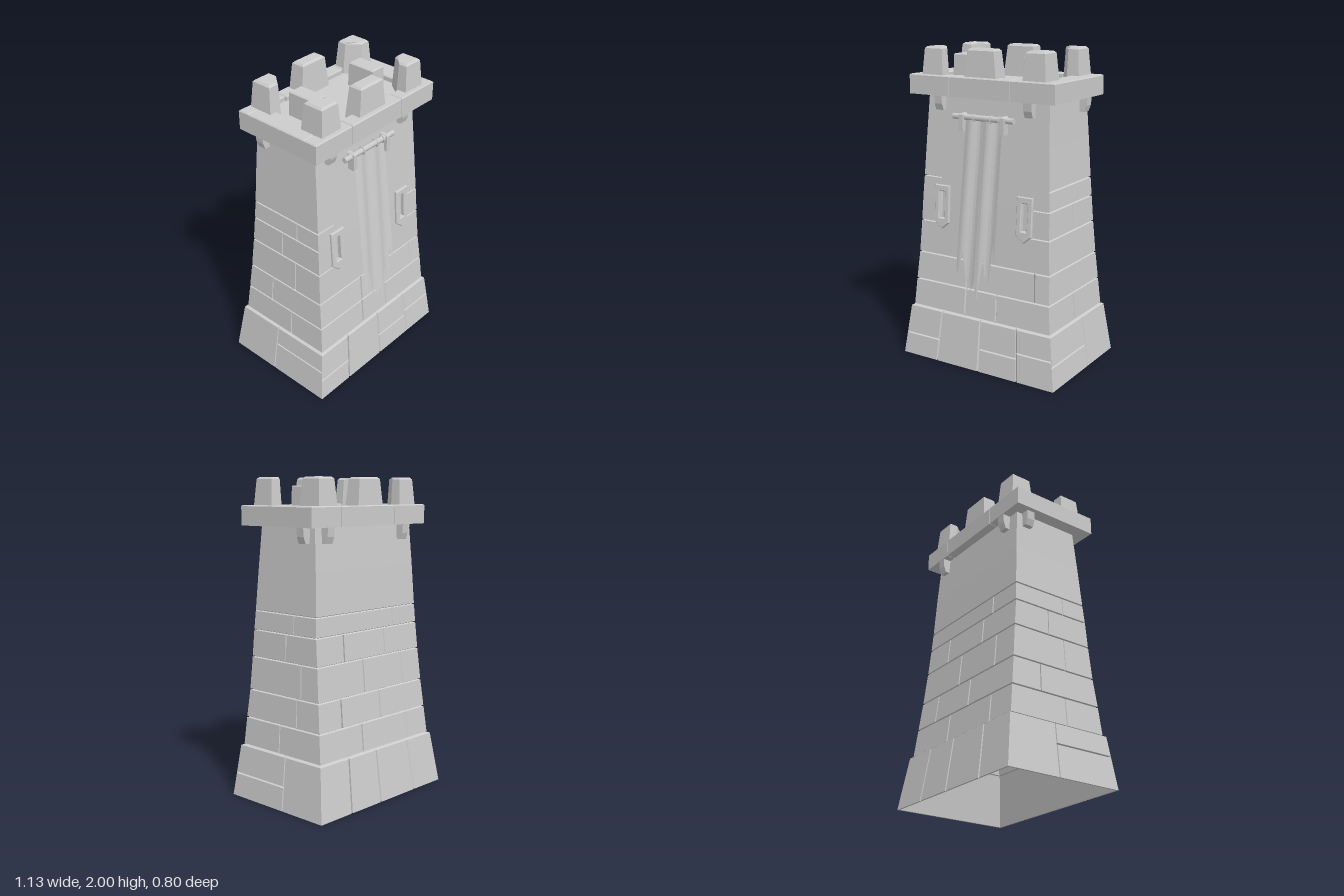
import * as THREE from 'three';
import { mergeGeometries } from 'three/addons/utils/BufferGeometryUtils.js';

const stone = new THREE.MeshStandardMaterial({ color: 0xcccccc, side: THREE.DoubleSide });
stone.name = 'stone';

// Tower profile: height, half width, front z, back z
const PROFILE = [
  [0, 0.565, 0.387, -0.398], [0.33, 0.522, 0.352, -0.35], [0.331, 0.508, 0.338, -0.335],
  [0.51, 0.495, 0.322, -0.315], [0.69, 0.482, 0.302, -0.295], [0.9, 0.47, 0.288, -0.275],
  [1.07, 0.463, 0.277, -0.26], [1.19, 0.456, 0.268, -0.253], [1.45, 0.443, 0.25, -0.24],
  [1.72, 0.43, 0.228, -0.222],
];
const INSET = 0.012;

function profileAt(y) {
  let i = 1;
  while (i < PROFILE.length - 1 && PROFILE[i][0] < y) i++;
  const a = PROFILE[i - 1], b = PROFILE[i];
  const t = (y - a[0]) / (b[0] - a[0]);
  return a.map((v, k) => v + (b[k] - v) * t);
}

// Point on a wall: side 0 front, 1 right, 2 back, 3 left; u runs -1..1 to the viewer's right
function wallPoint(side, u, y, inset = 0) {
  const p = profileAt(y);
  const hx = p[1] - inset, zf = p[2] - inset, zb = p[3] + inset;
  const z = zf + (zb - zf) * (u + 1) / 2;
  if (side === 0) return [u * hx, y, zf];
  if (side === 1) return [hx, y, z];
  if (side === 2) return [-u * hx, y, zb];
  return [-hx, y, zf + zb - z];
}

// Flat-shaded surface through rows of points (rows go up, points go right)
function skin(rows) {
  const pos = [];
  for (let j = 0; j < rows.length - 1; j++) {
    for (let i = 0; i < rows[j].length - 1; i++) {
      const a = rows[j][i], b = rows[j][i + 1], c = rows[j + 1][i + 1], d = rows[j + 1][i];
      pos.push(...a, ...b, ...c, ...a, ...c, ...d);
    }
  }
  const g = new THREE.BufferGeometry();
  g.setAttribute('position', new THREE.Float32BufferAttribute(pos, 3));
  g.computeVertexNormals();
  return g;
}

// One stone with bevelled joints; gu and gy are the joint half widths
function brick(side, u0, u1, y0, y1, gu = 0.011, gy = 0.005) {
  const l = u0 <= -1 ? 0 : gu, r = u1 >= 1 ? 0 : gu;
  const bottom = y0 === 0 ? 0 : gy, top = y1 > 1.7 ? 0 : gy;
  const ys = [y0, y0 + bottom, ...PROFILE.map(p => p[0]).filter(y => y > y0 + 0.01 && y < y1 - 0.01), y1 - top, y1];
  const us = [u0, u0 + l, u1 - r, u1];
  return skin(ys.map((y, j) => us.map((u, i) => {
    const edge = i === 0 || i === 3 || j === 0 || j === ys.length - 1;
    return wallPoint(side, u, y, edge ? INSET : 0);
  })));
}

// Tapered prism on an outline of [x, z] points with a bevelled top
function prism(pts, y0, y1, taper = 1, bevel = 0.012) {
  const n = pts.length;
  const cx = pts.reduce((s, p) => s + p[0], 0) / n, cz = pts.reduce((s, p) => s + p[1], 0) / n;
  const area = pts.reduce((s, p, i) => { const q = pts[(i + 1) % n]; return s + p[0] * q[1] - q[0] * p[1]; }, 0);
  const loop = area > 0 ? [...pts].reverse() : [...pts];
  loop.push(loop[0]);
  const ring = (y, k, b) => loop.map(([x, z]) => [
    cx + (x - cx) * k - Math.sign(x - cx) * b, y, cz + (z - cz) * k - Math.sign(z - cz) * b]);
  return skin([ring(y0, 0, 0), ring(y0, 1, 0), ring(y1 - bevel, taper, 0), ring(y1, taper, bevel), ring(y1, 0, 0)]);
}
const rect = (x0, x1, z0, z1) => [[x0, z0], [x1, z0], [x1, z1], [x0, z1]];

export function createModel() {
  const model = new THREE.Group();
  const add = (name, geo) => {
    const m = new THREE.Mesh(geo, stone);
    m.name = name;
    model.add(m);
    return m;
  };

  // Hollow core behind the stones
  add('towerCore', mergeGeometries([0, 1, 2, 3].map(s =>
    skin(PROFILE.map(p => [wallPoint(s, -1, p[0], INSET), wallPoint(s, 1, p[0], INSET)])))));

  // Courses on the sides and back: bottom, top, then joints per side
  const courses = [
    [0.331, 0.51, { 0: [-0.22, 0.24], 1: [-0.05], 2: [-0.25, 0.6], 3: [0.2] }],
    [0.51, 0.69, { 0: [-0.22, 0.79], 1: [0.4], 2: [-0.6, 0.12], 3: [-0.35] }],
    [0.69, 0.9, { 1: [0.52], 2: [-0.15, 0.62], 3: [0.3] }],
    [0.9, 1.07, { 1: [0.06], 2: [-0.5, 0.3], 3: [-0.1] }],
    [1.07, 1.19, { 1: [0.3], 2: [0.5], 3: [0.35] }],
    [1.19, 1.72, { 1: [], 2: [], 3: [] }],
  ];
  const walls = [];
  for (const [y0, y1, sides] of courses) {
    for (const side in sides) {
      const us = [-1, ...sides[side], 1];
      for (let i = 1; i < us.length; i++) walls.push(brick(+side, us[i - 1], us[i], y0, y1));
    }
  }
  // Plinth stones
  const plinth = [
    [0, -1, -0.53, 0, 0.14], [0, -1, -0.53, 0.14, 0.33], [0, -0.53, 0.03, 0, 0.33],
    [0, 0.03, 0.54, 0.145, 0.33], [0, 0.03, 0.54, 0, 0.145], [0, 0.54, 1, 0, 0.18], [0, 0.54, 1, 0.18, 0.33],
    [1, -1, 0.15, 0, 0.145], [1, -1, 0.15, 0.145, 0.33], [1, 0.15, 1, 0, 0.33],
    [2, -1, -0.53, 0, 0.33], [2, -0.53, -0.05, 0, 0.33], [2, -0.05, 0.53, 0, 0.33], [2, 0.53, 1, 0, 0.33],
    [3, -1, -0.1, 0, 0.33], [3, -0.1, 1, 0, 0.2], [3, -0.1, 1, 0.2, 0.33],
  ];
  for (const b of plinth) walls.push(brick(...b));
  // Smooth upper front, left open behind the windows
  const front = [
    [-0.595, 0.595, 0.69, 1.72],
    [-1, -0.705, 0.69, 0.9], [-1, -0.705, 0.9, 1.19], [-1, -0.705, 1.19, 1.72],
    [0.705, 1, 0.69, 0.9], [0.705, 1, 0.9, 1.07], [0.705, 1, 1.07, 1.72],
  ];
  for (const s of [-0.65, 0.65]) front.push([s - 0.055, s + 0.055, 0.69, 0.93], [s - 0.055, s + 0.055, 1.11, 1.72]);
  for (const [u0, u1, y0, y1] of front) walls.push(brick(0, u0, u1, y0, y1, 0, 0.004));
  add('wallStones', mergeGeometries(walls));

  // Platform floor and parapet blocks
  add('platformFloor', prism(rect(-0.5, 0.5, -0.268, 0.308), 1.712, 1.8, 1, 0.002));
  const parapet = [
    [-0.515, -0.22, 0.23, 0.32], [-0.216, 0.21, 0.225, 0.32], [0.214, 0.515, 0.23, 0.32],
    [-0.515, -0.22, -0.28, -0.205], [-0.216, 0.27, -0.28, -0.195], [0.274, 0.515, -0.28, -0.205],
    [-0.515, -0.385, -0.205, 0.23], [0.38, 0.515, -0.205, 0.23],
  ];
  add('parapet', mergeGeometries(parapet.map(b => prism(rect(...b), 1.71, 1.832, 1, 0.006))));

  // Merlons: four chamfered corners, front and back centres, two low inner blocks
  const corner = [[0.28, 0.295], [0.44, 0.295], [0.44, 0.13], [0.355, 0.13], [0.28, 0.225]];
  for (const sx of [-1, 1]) {
    for (const back of [false, true]) {
      add('cornerMerlon', prism(corner.map(([x, z]) => [sx * x, back ? 0.03 - z : z]), 1.79, 2, 0.8));
    }
  }
  add('frontMerlon', prism(rect(-0.13, 0.103, 0.182, 0.292), 1.79, 2, 0.8));
  add('backMerlon', prism(rect(-0.13, 0.103, -0.262, -0.152), 1.79, 2, 0.8));
  for (const x of [-0.273, 0.233]) add('innerMerlon', prism(rect(x - 0.052, x + 0.052, -0.068, 0.122), 1.79, 1.95, 0.96, 0.006));

  // Brackets under the parapet, deeper at the top
  const bracketShape = new THREE.Shape([[-0.03, 0], [0.055, 0], [0.05, -0.06], [0.035, -0.1], [-0.01, -0.1]]
    .map(p => new THREE.Vector2(...p)));
  const bracketGeo = new THREE.ExtrudeGeometry(bracketShape, { depth: 0.056, bevelEnabled: false });
  bracketGeo.translate(0, 0, -0.028);
  const brackets = [
    [-0.33, 0.228, -Math.PI / 2], [0.31, 0.228, -Math.PI / 2],
    [-0.33, -0.222, Math.PI / 2], [0.35, -0.222, Math.PI / 2],
    [0.432, -0.155, 0], [-0.432, -0.155, Math.PI],
  ];
  for (const [x, z, turn] of brackets) {
    const b = add('bracket', bracketGeo);
    b.position.set(x, 1.715, z);
    b.rotation.y = turn;
  }

  // Arrow-slit frames with a pointed sill
  const frame = new THREE.Shape([[-0.05, 0.12], [-0.05, -0.11], [0, -0.15], [0.05, -0.11], [0.05, 0.12]]
    .map(p => new THREE.Vector2(...p)));
  frame.holes.push(new THREE.Path([[-0.026, 0.09], [0.026, 0.09], [0.026, -0.09], [-0.026, -0.09]]
    .map(p => new THREE.Vector2(...p))));
  const frameGeo = new THREE.ExtrudeGeometry(frame,
    { depth: 0.024, bevelThickness: 0.005, bevelSize: 0.005, bevelSegments: 1 });
  for (const x of [-0.305, 0.3]) {
    const f = add('windowFrame', frameGeo);
    f.position.set(x, 1.02, 0.268);
    f.rotation.x = -0.07;
  }

  // Banner rod, its hooks and cloth rings
  const rod = add('bannerRod', new THREE.CylinderGeometry(0.018, 0.018, 0.435, 8));
  rod.rotation.z = Math.PI / 2;
  rod.position.set(-0.008, 1.587, 0.264);
  for (const x of [-0.155, 0.14]) add('rodHook', prism(rect(x - 0.015, x + 0.015, 0.225, 0.29), 1.5, 1.61, 1, 0.008));
  for (const x of [-0.07, 0.05, 0.11]) {
    const ring = add('bannerRing', new THREE.TorusGeometry(0.021, 0.005, 5, 10));
    ring.rotation.y = Math.PI / 2;
    ring.position.set(x, 1.585, 0.264);
  }

  // Tattered banner leaning away from the wall: x and lower edge of each strip
  const hem = [[-0.145, 0.66], [-0.13, 0.62], [-0.115, 0.7], [-0.1, 0.76], [-0.088, 0.69], [-0.07, 0.57],
    [-0.05, 0.61], [-0.03, 0.53], [-0.005, 0.58], [0.02, 0.465], [0.035, 0.6], [0.05, 0.73], [0.07, 0.61],
    [0.09, 0.57], [0.105, 0.69], [0.113, 0.83], [0.125, 0.79], [0.138, 0.72]];
  const cloth = [];
  for (let j = 0; j <= 6; j++) {
    cloth.push(hem.map(([x, low]) => {
      const y = low + (1.575 - low) * j / 6;
      const lean = (1.575 - y) / 1.11;
      return [x * (0.94 + 0.06 * lean), y, 0.264 + 0.13 * lean + 0.007 * Math.sin(x * 48 + lean)];
    }));
  }
  add('banner', skin(cloth));
  return model;
}
